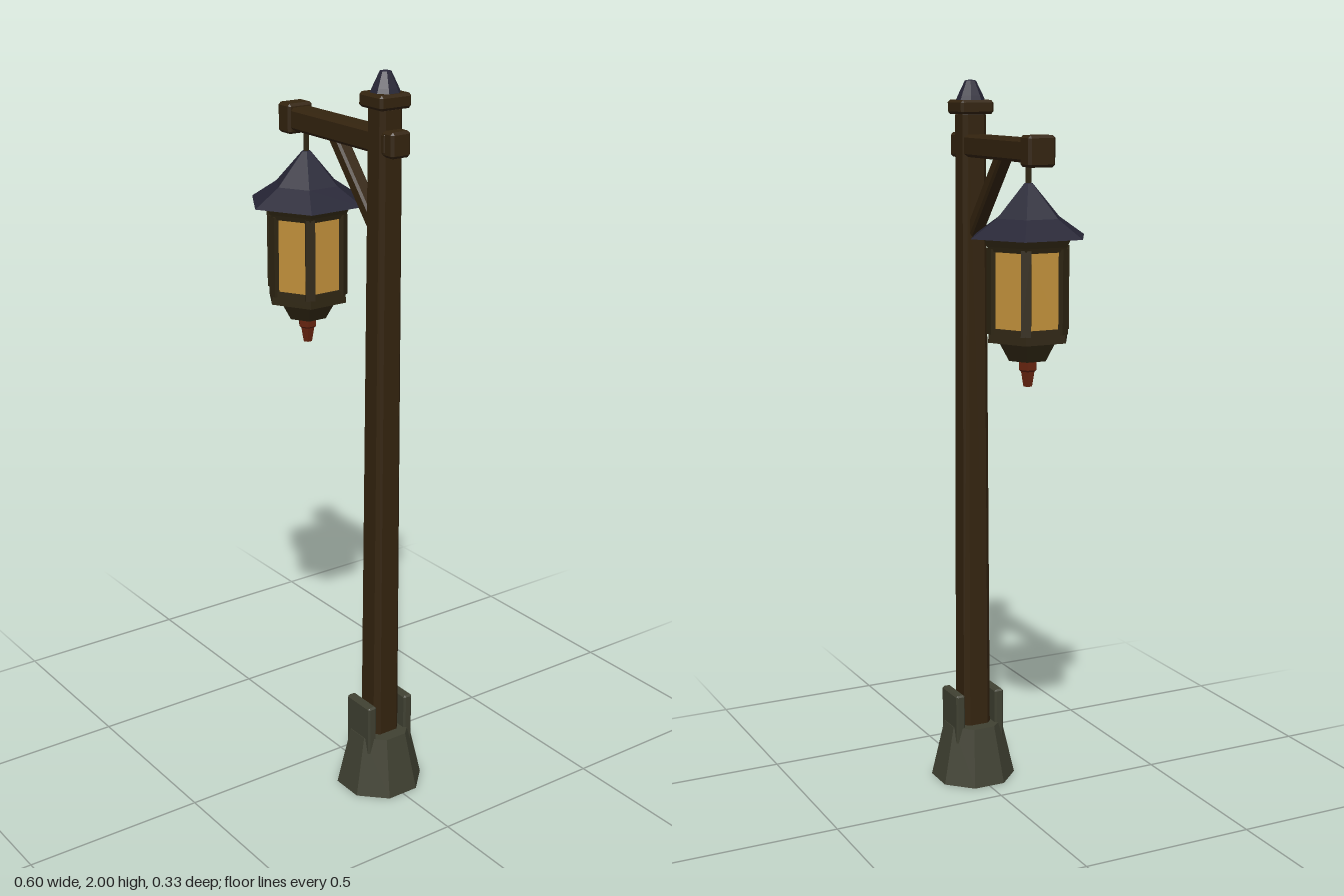
import * as THREE from 'three';
import { ConvexGeometry } from 'three/addons/geometries/ConvexGeometry.js';

const material = (name, color) => {
  const m = new THREE.MeshStandardMaterial({ color });
  m.name = name;
  return m;
};

// Faceted solid of revolution; profile runs bottom to top as [radius, y]
function lathe(profile, sides, turn = 0) {
  const g = new THREE.LatheGeometry(profile.map(([r, y]) => new THREE.Vector2(r, y)), sides);
  g.rotateY(turn);
  const flat = g.toNonIndexed();
  flat.computeVertexNormals();
  return flat;
}

// Box with chamfered edges; taper scales the top end
function chamferBox(w, h, d, c, taper = 1) {
  const pts = [];
  for (const x of [-1, 1]) for (const y of [-1, 1]) for (const z of [-1, 1]) {
    for (const [a, b, e] of [[0, c, c], [c, 0, c], [c, c, 0]]) {
      const k = y > 0 ? taper : 1;
      pts.push(new THREE.Vector3(x * (w / 2 - a) * k, y * (h / 2 - b), z * (d / 2 - e) * k));
    }
  }
  return new ConvexGeometry(pts);
}

export function createModel() {
  const wood = material('dark wood', 0x34240f);
  const frameWood = material('lantern frame', 0x2f2613);
  const stone = material('stone', 0x404132);
  const slate = material('slate roof', 0x272636);
  const glass = material('amber glass', 0xc2913b);
  const red = material('red tip', 0x66240f);

  const model = new THREE.Group();
  const add = (parent, name, geometry, mat, x = 0, y = 0, z = 0) => {
    const mesh = new THREE.Mesh(geometry, mat);
    mesh.name = name;
    mesh.position.set(x, y, z);
    parent.add(mesh);
    return mesh;
  };

  // Post and footing
  const postX = 0.187;
  const post = new THREE.Group();
  post.name = 'post';
  post.position.x = postX;
  model.add(post);
  const oct = 1 / Math.cos(Math.PI / 8);
  const footing = [[0, 0.055], [0.076, 0.055], [0.112, 0], [0.077, 0.165], [0, 0.165]];
  add(post, 'footing', lathe(footing.map(([r, y]) => [r * oct, y]), 8, Math.PI / 8), stone);
  for (const s of [-1, 1]) {
    add(post, 'footingPlate', chamferBox(0.104, 0.165, 0.027, 0.005), stone, 0, 0.1825, s * 0.0615);
  }
  add(post, 'shaft', chamferBox(0.084, 1.82, 0.084, 0.014, 0.83), wood, 0, 1.01, 0);
  add(post, 'collar', chamferBox(0.097, 0.038, 0.097, 0.007), wood, 0, 1.927, 0);
  add(post, 'finial', lathe([[0, 1.94], [0.04, 1.944], [0.034, 1.958], [0.015, 1.997], [0, 2]], 8, Math.PI / 8), slate);

  // Arm with end blocks and diagonal brace
  const arm = new THREE.Group();
  arm.name = 'arm';
  model.add(arm);
  add(arm, 'beam', chamferBox(0.43, 0.06, 0.064, 0.008), wood, 0.018, 1.825, 0);
  add(arm, 'outerEndBlock', chamferBox(0.056, 0.08, 0.077, 0.007), wood, -0.208, 1.825, 0);
  add(arm, 'innerEndBlock', chamferBox(0.06, 0.066, 0.06, 0.007), wood, 0.227, 1.825, 0);
  const from = new THREE.Vector2(-0.025, 1.815);
  const to = new THREE.Vector2(0.175, 1.58);
  const span = to.clone().sub(from);
  const brace = add(arm, 'brace', chamferBox(span.length(), 0.036, 0.04, 0.006), wood,
    (from.x + to.x) / 2, (from.y + to.y) / 2, 0);
  brace.rotation.z = span.angle();

  // Hanging lantern, six-sided
  const lantern = new THREE.Group();
  lantern.name = 'lantern';
  lantern.position.x = -0.157;
  model.add(lantern);
  add(lantern, 'hangingRod', lathe([[0.008, 1.7], [0.008, 1.81]], 6), frameWood);
  add(lantern, 'roof', lathe([[0, 1.625], [0.12, 1.618], [0.164, 1.606], [0.09, 1.655], [0.012, 1.742], [0, 1.745]], 6), slate);
  add(lantern, 'upperTrim', lathe([[0, 1.572], [0.113, 1.572], [0.118, 1.585], [0.128, 1.605], [0.12, 1.62], [0, 1.622]], 6), frameWood);
  add(lantern, 'glassPanes', lathe([[0.108, 1.36], [0.108, 1.58]], 6), glass);
  for (let i = 0; i < 6; i++) {
    const a = i * Math.PI / 3;
    const bar = add(lantern, 'cornerBar', new THREE.BoxGeometry(0.026, 0.22, 0.024), frameWood,
      Math.sin(a) * 0.102, 1.47, Math.cos(a) * 0.102);
    bar.rotation.y = a;
  }
  add(lantern, 'lowerTrim', lathe([[0, 1.338], [0.116, 1.338], [0.113, 1.375], [0, 1.377]], 6), frameWood);
  add(lantern, 'lowerCup', lathe([[0, 1.284], [0.055, 1.286], [0.086, 1.34]], 6), frameWood);
  add(lantern, 'tip', lathe([[0, 1.215], [0.013, 1.215], [0.02, 1.255], [0.026, 1.26], [0.026, 1.288]], 6), red);

  return model;
}
